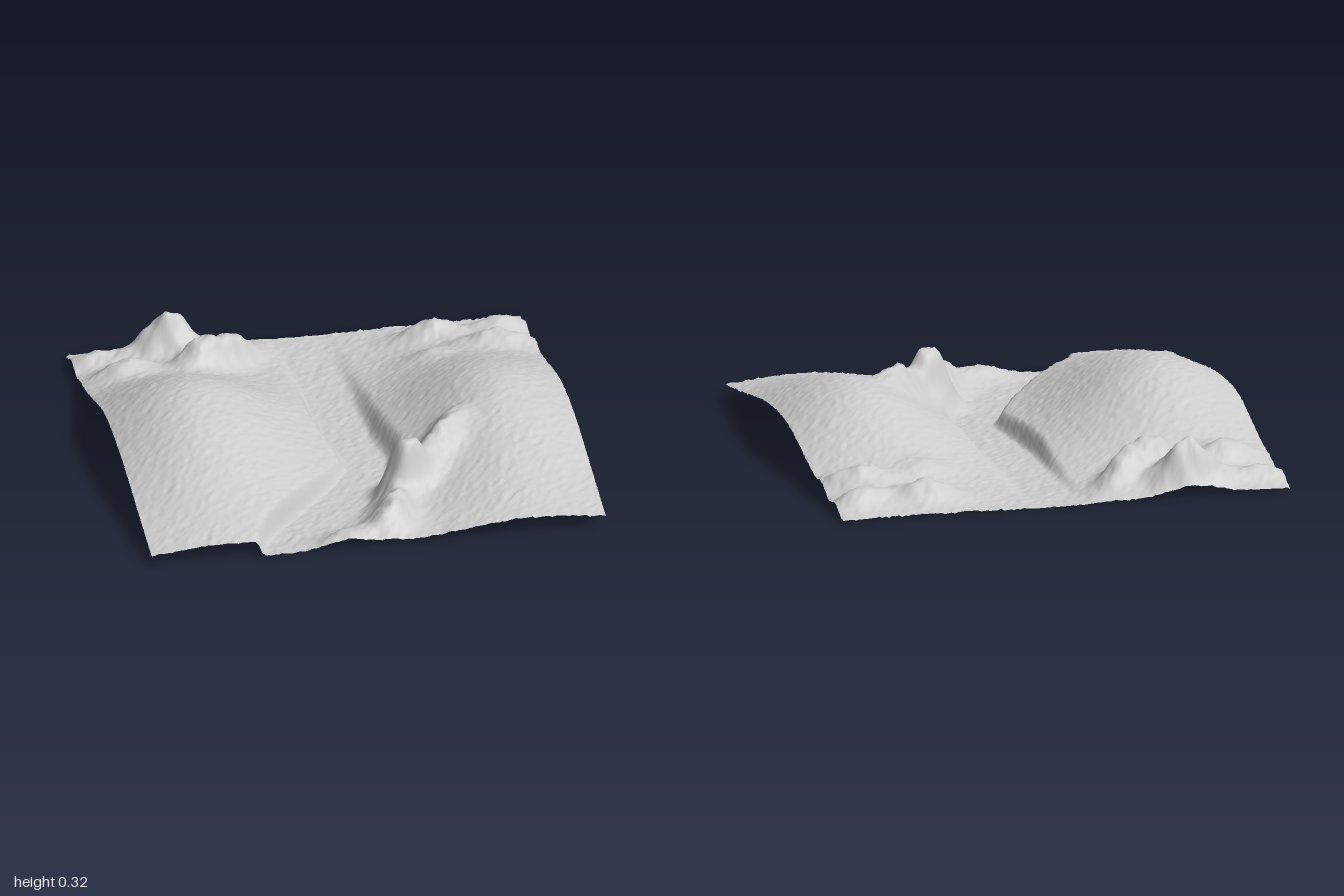
import * as THREE from 'three';

const SEGMENTS = 136;

// River bank lines as [z, x], from back to front
const LEFT_BANK = [[-1, -0.1], [-0.6, -0.08], [-0.2, -0.075], [0, -0.055], [0.2, -0.025], [0.27, -0.025],
  [0.4, -0.1], [0.6, -0.26], [0.8, -0.43], [0.9, -0.49], [1, -0.52]];
const RIGHT_BANK = [[-1, 0.13], [-0.5, 0.14], [0, 0.16], [0.2, 0.19], [0.4, 0.14],
  [0.6, 0.04], [0.8, -0.12], [1, -0.3]];

// Rocky peaks: x, z, height, length, width, turn about y
const PEAKS = [
  // ridge beside the river mouth
  [0.45, 0.30, 0.045, 0.08, 0.07, 0.9],
  [0.37, 0.42, 0.11, 0.11, 0.08, 0.9],
  [0.27, 0.52, 0.07, 0.09, 0.08, 0.7],
  [0.19, 0.57, 0.21, 0.09, 0.075, -0.1],
  [0.12, 0.74, 0.09, 0.12, 0.08, 1.3],
  [0.07, 0.87, 0.09, 0.10, 0.09, 0.9],
  [-0.12, 0.95, 0.06, 0.13, 0.08, 0.2],
  // back left range
  [-0.57, -0.89, 0.21, 0.15, 0.085, 0],
  [-0.9, -0.87, 0.06, 0.14, 0.07, 0],
  [-0.47, -0.70, 0.13, 0.11, 0.08, 0.5],
  [-0.31, -0.78, 0.13, 0.14, 0.08, 0.8],
  [-0.8, -0.67, 0.08, 0.14, 0.08, 0.2],
  // back right range
  [0.58, -0.83, 0.09, 0.14, 0.075, 0],
  [0.88, -0.84, 0.08, 0.13, 0.075, 0.3],
  [0.84, -0.65, 0.08, 0.17, 0.075, -0.1],
  [0.52, -0.56, 0.035, 0.10, 0.07, 0.2],
];

// Linear interpolation along a bank line
function bankX(line, z) {
  let i = 0;
  while (i < line.length - 2 && z > line[i + 1][0]) i++;
  const [z0, x0] = line[i];
  const [z1, x1] = line[i + 1];
  return THREE.MathUtils.mapLinear(z, z0, z1, x0, x1);
}

const bell = (d, s) => Math.exp(-((d / s) ** 2));

// Broad hill with a longer slope to the front than to the back
function hill(x, z, cx, cz, height, width, front, back) {
  return height * bell(x - cx, width) * bell(z - cz, z > cz ? front : back);
}

function peak(x, z, [cx, cz, height, length, width, turn]) {
  const dx = x - cx, dz = z - cz;
  const along = dx * Math.cos(turn) - dz * Math.sin(turn);
  const across = dx * Math.sin(turn) + dz * Math.cos(turn);
  return height * bell(along, length) * bell(across, width);
}

function heightAt(x, z) {
  const { smoothstep } = THREE.MathUtils;
  // Steep left bank and lower right bank fall to a flat river bed
  const left = smoothstep(bankX(LEFT_BANK, z) - x, -0.02, 0.025);
  const right = smoothstep(x - bankX(RIGHT_BANK, z), -0.01, 0.06);
  let y = 0.004;
  y += left * hill(x, z, -0.65, 0, 0.315, 0.48, 0.83, 0.54);
  y += right * hill(x, z, 0.68, 0.08, 0.287, x > 0.68 ? 0.48 : 0.42, 0.79, 0.61);
  // Rocks, broken up by ripples that grow with their height
  let rock = 0;
  for (const p of PEAKS) rock += peak(x, z, p);
  const ripple = Math.sin(x * 53 + z * 17) * Math.sin(z * 47 - x * 13);
  return y + rock * (1 + 0.09 * ripple);
}

// Seeded random numbers for the rough ground
function seeded(seed) {
  return () => {
    seed = (seed * 16807) % 2147483647;
    return seed / 2147483647;
  };
}

export function createModel() {
  const group = new THREE.Group();
  group.name = 'landscape';

  const geometry = new THREE.PlaneGeometry(2, 2, SEGMENTS, SEGMENTS);
  geometry.rotateX(-Math.PI / 2);
  const pos = geometry.attributes.position;
  const random = seeded(7);
  for (let i = 0; i < pos.count; i++) {
    // Cubed noise leaves most ground smooth with a few sharper bumps
    const bump = 0.006 * (2 * random() - 1) ** 3;
    pos.setY(i, Math.max(0, heightAt(pos.getX(i), pos.getZ(i)) + bump));
  }
  geometry.computeVertexNormals();

  const terrain = new THREE.Mesh(geometry, new THREE.MeshStandardMaterial({
    color: 0xcccccc, side: THREE.DoubleSide,
  }));
  terrain.name = 'terrain';
  group.add(terrain);
  return group;
}
